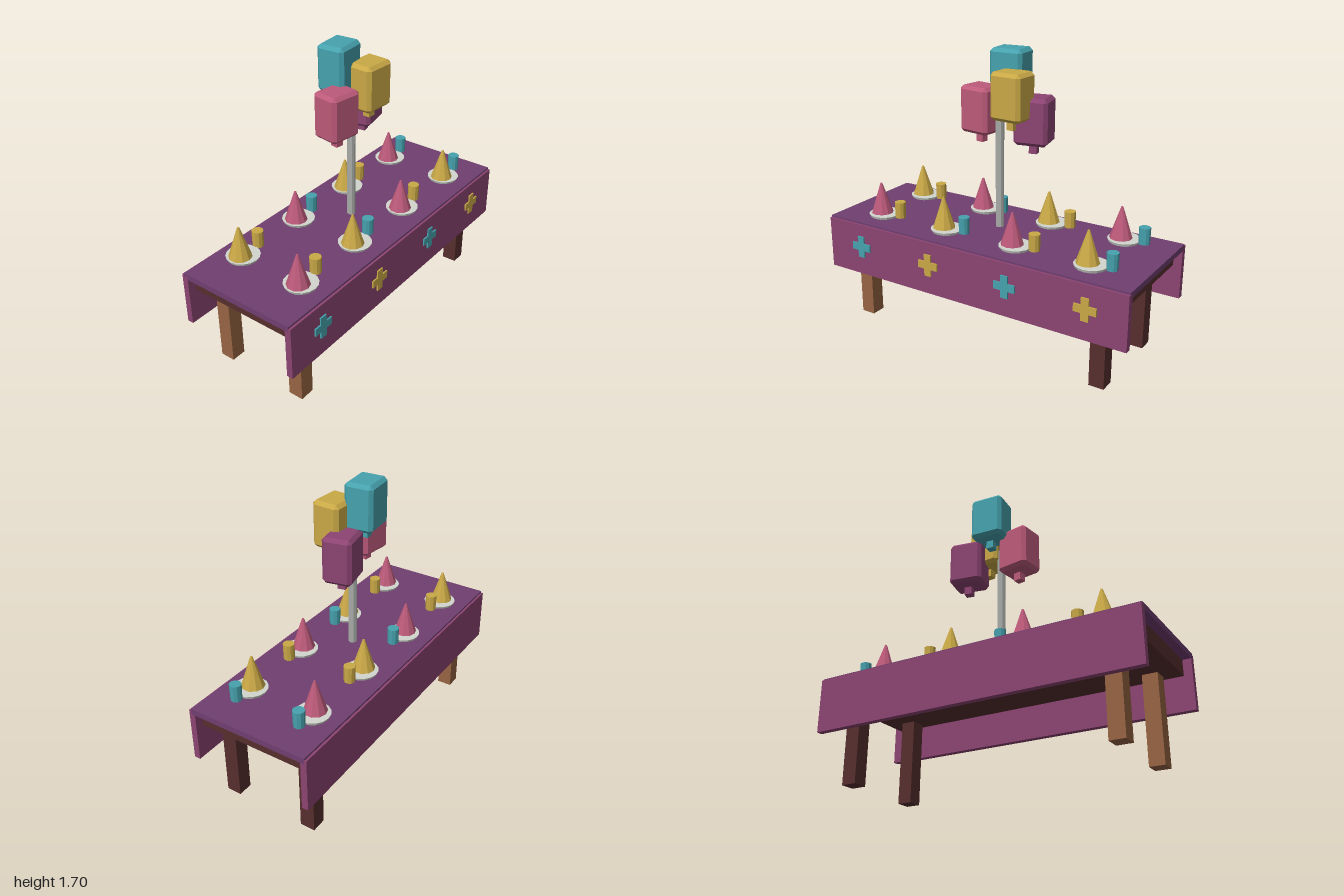
import * as THREE from 'three';
import { ConvexGeometry } from 'three/addons/geometries/ConvexGeometry.js';

const material = (name, color) => {
  const m = new THREE.MeshStandardMaterial({ color, flatShading: true });
  m.name = name;
  return m;
};

// Box with flat chamfers: three corner points per corner
function chamferBox(w, h, d, c) {
  const points = [];
  for (const x of [-1, 1]) for (const y of [-1, 1]) for (const z of [-1, 1]) {
    const a = w / 2, b = h / 2, e = d / 2;
    points.push(
      new THREE.Vector3(x * a, y * (b - c), z * (e - c)),
      new THREE.Vector3(x * (a - c), y * b, z * (e - c)),
      new THREE.Vector3(x * (a - c), y * (b - c), z * e));
  }
  return new ConvexGeometry(points);
}

export function createModel() {
  const teal = material('teal', 0x46a2ae);
  const gold = material('gold', 0xc9a846);
  const rose = material('rose', 0xbc5a7a);
  const plum = material('plum', 0x8c4472);
  const purple = material('purple', 0x703f70);
  const brown = material('brown wood', 0x966342);
  const darkWood = material('dark wood', 0x572e2e);
  const white = material('plate white', 0xd2d5ce);
  const grey = material('pole grey', 0xa9ada9);

  const model = new THREE.Group();
  model.name = 'partyTable';
  const add = (name, geometry, mat, x, y, z, parent = model) => {
    const mesh = new THREE.Mesh(geometry, mat);
    mesh.name = name;
    mesh.position.set(x, y, z);
    parent.add(mesh);
    return mesh;
  };
  const box = (w, h, d) => new THREE.BoxGeometry(w, h, d);
  const zc = -0.004; // table centre line

  // Table board and legs
  add('tableBoard', box(1.9, 0.095, 0.684), darkWood, 0, 0.558, zc);
  for (const side of [-1, 1]) for (const end of [-1, 1]) {
    add('leg', box(0.09, 0.51, 0.09), side < 0 ? brown : darkWood, side * 0.803, 0.255, zc + end * 0.258);
  }

  // Tablecloth with a hanging panel at front and back
  add('clothTop', box(2, 0.035, 0.735), purple, 0, 0.6235, zc);
  for (const end of [-1, 1]) {
    add('clothPanel', box(2, 0.32, 0.038), plum, 0, 0.47, zc + end * 0.362);
  }

  // Cross decorations on the front panel
  const a = 0.067, b = 0.023;
  const cross = new THREE.Shape([
    [-b, -a], [b, -a], [b, -b], [a, -b], [a, b], [b, b],
    [b, a], [-b, a], [-b, b], [-a, b], [-a, -b], [-b, -b],
  ].map(([x, y]) => new THREE.Vector2(x, y)));
  const crossGeometry = new THREE.ExtrudeGeometry(cross, { depth: 0.009, bevelEnabled: false });
  [-0.752, -0.25, 0.27, 0.76].forEach((x, i) =>
    add('cross', crossGeometry, i % 2 ? gold : teal, x, 0.49, 0.377));

  // Place settings: plate, party hat and cup
  const plate = new THREE.CylinderGeometry(0.097, 0.09, 0.016, 16);
  const hat = new THREE.CylinderGeometry(0.006, 0.068, 0.19, 10);
  const cup = new THREE.CylinderGeometry(0.034, 0.032, 0.098, 10);
  for (let col = 0; col < 4; col++) {
    [0.2, -0.213].forEach((z, row) => {
      const setting = new THREE.Group();
      setting.name = 'placeSetting';
      setting.position.set(-0.729 + col * 0.469, 0, z);
      model.add(setting);
      add('plate', plate, white, 0.021, 0.658, 0, setting);
      add('partyHat', hat, (col + row) % 2 ? gold : rose, 0, 0.757, 0, setting);
      add('cup', cup, col % 2 ? teal : gold, 0.143, 0.709, 0, setting);
    });
  }

  // Pole and balloons
  add('pole', new THREE.CylinderGeometry(0.025, 0.025, 0.74, 8), grey, -0.003, 1.03, zc);
  const balloonGeometry = chamferBox(0.2, 0.27, 0.17, 0.02);
  const knotGeometry = box(0.046, 0.048, 0.046);
  [
    [teal, 0.013, 1.566, -0.098, 0.08],
    [gold, 0.104, 1.461, 0.038, -0.06],
    [rose, -0.128, 1.353, -0.008, -0.14],
    [plum, 0.187, 1.316, -0.063, 0.2],
  ].forEach(([mat, x, y, z, turn]) => {
    const balloon = new THREE.Group();
    balloon.name = 'balloon';
    balloon.position.set(x, y, z);
    balloon.rotation.y = turn;
    model.add(balloon);
    add('balloonBody', balloonGeometry, mat, 0, 0, 0, balloon);
    add('balloonKnot', knotGeometry, mat, 0, -0.168, 0, balloon);
  });

  return model;
}
